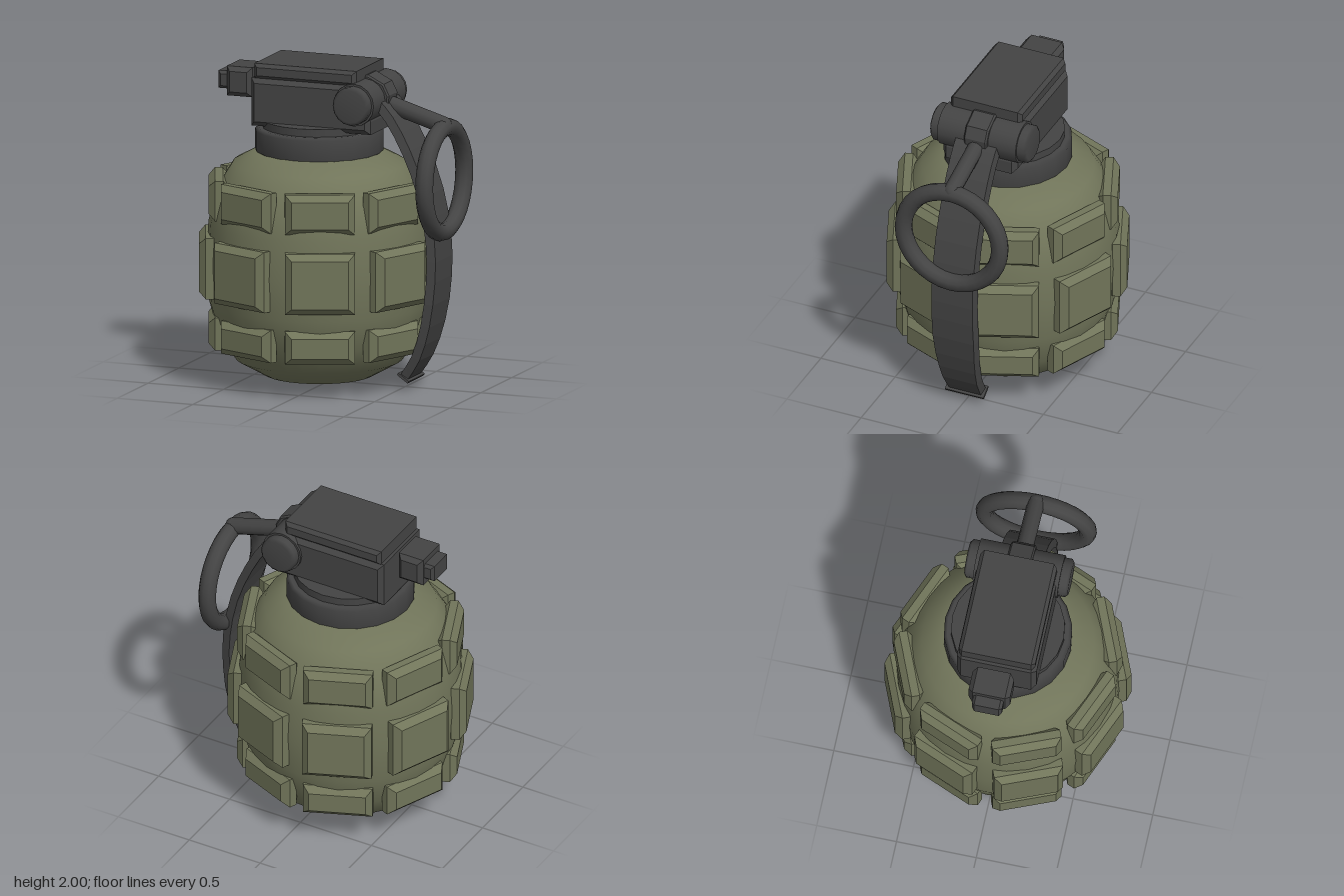
import * as THREE from 'three';

const AXIS = -0.07; // x of the body's vertical axis

export function createModel() {
  const model = new THREE.Group();
  model.name = 'grenade';
  const olive = new THREE.MeshStandardMaterial({ color: 0x71755a });
  olive.name = 'olive';
  const metal = new THREE.MeshStandardMaterial({ color: 0x444444 });
  metal.name = 'darkMetal';

  function add(name, geometry, material, x = 0, y = 0, z = 0, parent = model) {
    const mesh = new THREE.Mesh(geometry, material);
    mesh.name = name;
    mesh.position.set(x, y, z);
    parent.add(mesh);
    return mesh;
  }

  // Side outline extruded along z, every edge chamfered by c
  function chamferedOutline(points, depth, c) {
    const shape = new THREE.Shape(points.map(([x, y]) => new THREE.Vector2(x, y)));
    const geo = new THREE.ExtrudeGeometry(shape, {
      depth: depth - 2 * c, bevelEnabled: true, bevelSegments: 1,
      bevelSize: c, bevelThickness: c, bevelOffset: -c,
    });
    return geo.translate(0, 0, c - depth / 2);
  }
  function chamferedBox(w, h, d, c) {
    return chamferedOutline([[-w / 2, -h / 2], [w / 2, -h / 2], [w / 2, h / 2], [-w / 2, h / 2]], d, c);
  }

  // Smooth egg-shaped body
  const profile = [[0, 0.005], [0.335, 0.045], [0.515, 0.145], [0.62, 0.3], [0.675, 0.5], [0.692, 0.75],
    [0.68, 1.0], [0.635, 1.2], [0.53, 1.37], [0.38, 1.45], [0, 1.48]];
  add('body', new THREE.LatheGeometry(profile.map(([r, y]) => new THREE.Vector2(r, y)), 32), olive, AXIS);

  // Three rings of eight raised blocks
  const rows = [
    { name: 'lowerBlock', y: 0.333, h: 0.205, out: 0.68 },
    { name: 'middleBlock', y: 0.742, h: 0.38, out: 0.738 },
    { name: 'upperBlock', y: 1.165, h: 0.25, out: 0.68 },
  ];
  for (const row of rows) {
    const geo = chamferedBox(0.43, row.h, 0.13, 0.04);
    for (let i = 0; i < 8; i++) {
      const a = (i + 0.5) * Math.PI / 4;
      const r = row.out - 0.065;
      add(row.name, geo, olive, AXIS + Math.sin(a) * r, row.y, Math.cos(a) * r).rotation.y = a;
    }
  }

  // Collar and neck under the fuse
  const collar = [[0, 1.43], [0.37, 1.43], [0.395, 1.45], [0.395, 1.575], [0.375, 1.592], [0, 1.592]];
  add('collar', new THREE.LatheGeometry(collar.map(([r, y]) => new THREE.Vector2(r, y)), 20), metal, AXIS);
  add('neck', new THREE.CylinderGeometry(0.35, 0.35, 0.06, 20), metal, AXIS, 1.61);

  // Fuse housing and cover plate
  add('fuseHousing', chamferedOutline(
    [[-0.43, 1.61], [0.36, 1.61], [0.36, 1.69], [0.27, 1.91], [-0.43, 1.91]], 0.5, 0.03), metal);
  add('coverPlate', chamferedBox(0.675, 0.095, 0.48, 0.022), metal, -0.073, 1.9525);

  // Safety knob beside the housing
  add('knob', chamferedBox(0.17, 0.185, 0.26, 0.028), metal, -0.555, 1.852);
  add('knobTip', chamferedBox(0.09, 0.11, 0.19, 0.018), metal, -0.66, 1.852);

  // Hinge barrel with round end caps
  const hinge = new THREE.Group();
  hinge.name = 'hinge';
  hinge.position.set(0.265, 1.797, 0);
  hinge.rotation.x = Math.PI / 2;
  model.add(hinge);
  add('hingeBarrel', new THREE.CylinderGeometry(0.133, 0.133, 0.53, 16), metal, 0, 0, 0, hinge);
  const cap = [[0, -0.325], [0.1, -0.325], [0.12, -0.31], [0.12, 0.31], [0.1, 0.325], [0, 0.325]];
  add('hingeCaps', new THREE.LatheGeometry(cap.map(([r, y]) => new THREE.Vector2(r, y)), 16), metal, 0, 0, 0, hinge);
  add('hingeLug', chamferedOutline(
    [[0.22, 1.78], [0.41, 1.76], [0.42, 1.83], [0.385, 1.9], [0.28, 1.952], [0.22, 1.94]], 0.155, 0.01), metal);

  // Curved lever, lofted from four-cornered sections
  const path = new THREE.CatmullRomCurve3([[0.36, 1.8], [0.45, 1.7], [0.565, 1.5], [0.67, 1.23], [0.722, 0.95],
    [0.725, 0.7], [0.685, 0.42], [0.615, 0.21], [0.535, 0.085]].map(([x, y]) => new THREE.Vector3(x, y, 0)));
  const steps = 16, half = 0.027, pos = [], idx = [];
  for (let i = 0; i <= steps; i++) {
    const p = path.getPoint(i / steps), t = path.getTangent(i / steps);
    const w = 0.118 + 0.032 * Math.min(1, Math.max(0, (p.y - 0.08) / 0.45));
    for (const [side, z] of [[half, w - 0.012], [half, 0.012 - w], [-half, -w], [-half, w]]) {
      pos.push(p.x - t.y * side, p.y + t.x * side, z);
    }
    if (i === steps) continue;
    for (let k = 0; k < 4; k++) {
      const a = i * 4 + k, b = i * 4 + (k + 1) % 4;
      idx.push(a, a + 4, b + 4, a, b + 4, b);
    }
  }
  const e = steps * 4;
  idx.push(0, 1, 2, 0, 2, 3, e, e + 2, e + 1, e, e + 3, e + 2);
  const indexed = new THREE.BufferGeometry();
  indexed.setAttribute('position', new THREE.Float32BufferAttribute(pos, 3));
  indexed.setIndex(idx);
  const lever = indexed.toNonIndexed();
  lever.computeVertexNormals();
  add('lever', lever, metal);
  add('leverLip', new THREE.BoxGeometry(0.085, 0.016, 0.26), metal, 0.536, 0.085).rotation.z = -0.6;

  // Pull ring and the pin that holds it
  add('pullRing', new THREE.TorusGeometry(0.325, 0.055, 10, 32), metal, 0.757, 1.32).rotation.y = Math.PI / 2;
  const pin = new THREE.LineCurve3(new THREE.Vector3(0.3, 1.795, 0), new THREE.Vector3(0.755, 1.66, 0));
  add('pin', new THREE.TubeGeometry(pin, 1, 0.053, 10), metal);
  add('pinEnd', new THREE.SphereGeometry(0.053, 10, 8), metal, 0.755, 1.66);

  return model;
}
